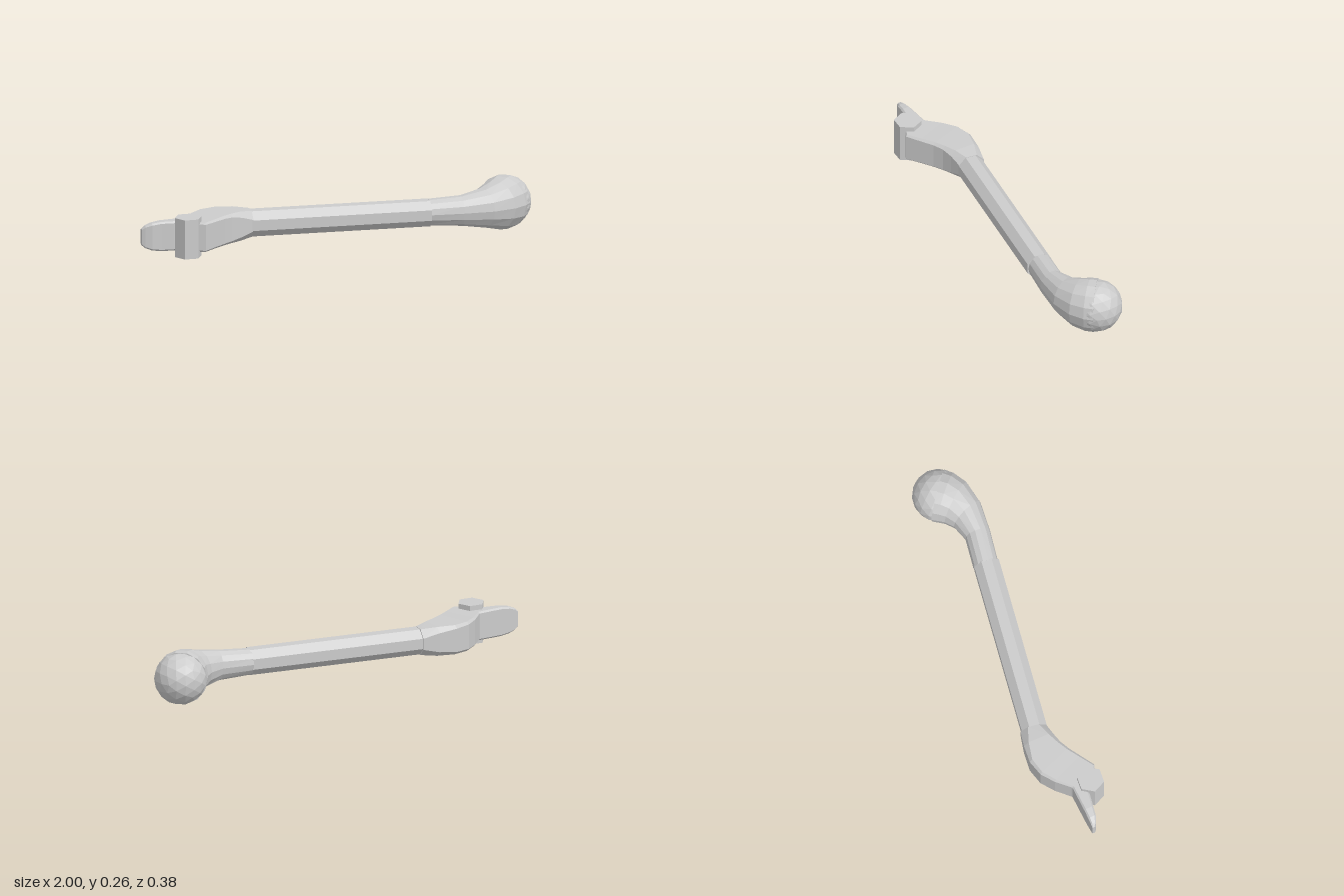
import * as THREE from 'three';

const MID = 0.137; // height of the handle's centre line
const mat = new THREE.MeshStandardMaterial({ color: 0xcccccc, flatShading: true, side: THREE.DoubleSide });

// Unit rings (u across, v up)
const roundRing = (n) => () => Array.from({ length: n }, (_, i) => {
  const t = ((i + 0.5) / n) * Math.PI * 2;
  return [Math.cos(t) / Math.cos(Math.PI / n), Math.sin(t) / Math.cos(Math.PI / n)];
});
const roundTrue = (n) => () => Array.from({ length: n }, (_, i) => {
  const t = (i / n) * Math.PI * 2;
  return [Math.cos(t), Math.sin(t)];
});
const chamferRing = (hw, hh, c) => {
  const u = 1 - c / hw, v = 1 - c / hh;
  return [[1, -v], [1, v], [u, 1], [-u, 1], [-1, v], [-1, -v], [-u, -1], [u, -1]];
};

// Skin over sections running towards +x:
// [back x, back z, front x, front z, half height, chamfer]
function loft(name, sections, ringOf) {
  const rings = sections.map(([x1, z1, x2, z2, hh, c]) => {
    const hw = Math.hypot(x2 - x1, z2 - z1) / 2;
    return ringOf(hw, hh, c).map(([u, v]) => [
      (x1 + x2) / 2 + (u * (x2 - x1)) / 2,
      MID + v * hh,
      (z1 + z2) / 2 + (u * (z2 - z1)) / 2,
    ]);
  });
  const pos = [], n = rings[0].length, last = rings[rings.length - 1];
  const tri = (...pts) => pts.forEach((p) => pos.push(...p));
  for (let i = 0; i < rings.length - 1; i++) {
    for (let j = 0; j < n; j++) {
      const k = (j + 1) % n;
      const a = rings[i][j], b = rings[i][k], c = rings[i + 1][k], d = rings[i + 1][j];
      tri(a, d, c);
      tri(a, c, b);
    }
  }
  for (let j = 1; j < n - 1; j++) {
    tri(rings[0][0], rings[0][j], rings[0][j + 1]);
    tri(last[0], last[j + 1], last[j]);
  }
  const geo = new THREE.BufferGeometry();
  geo.setAttribute('position', new THREE.Float32BufferAttribute(pos, 3));
  geo.computeVertexNormals();
  const mesh = new THREE.Mesh(geo, mat);
  mesh.name = name;
  return mesh;
}

export function createModel() {
  const model = new THREE.Group();
  model.name = 'leverHandle';

  // Straight eight-sided shaft
  model.add(loft('shaft', [
    [-0.41, -0.157, -0.434, -0.035, 0.063],
    [0.465, 0.013, 0.441, 0.135, 0.063],
  ], roundRing(8)));

  // Neck that swells and bends round to the ball
  model.add(loft('neck', [
    [0.46, 0.008, 0.437, 0.13, 0.065],
    [0.615, 0.04, 0.6, 0.166, 0.075],
    [0.695, 0.018, 0.75, 0.188, 0.097],
    [0.735, -0.012, 0.865, 0.174, 0.121],
    [0.757, -0.04, 0.935, 0.138, 0.132],
    [0.774, -0.063, 0.97, 0.105, 0.131],
  ], roundTrue(14)));

  // Faceted ball grip
  const ball = new THREE.Mesh(new THREE.IcosahedronGeometry(0.128, 2), mat);
  ball.name = 'ballGrip';
  ball.position.set(0.873, MID, 0.022);
  model.add(ball);

  // Curved, chamfered head that holds the pin
  model.add(loft('head', [
    [-0.8, -0.055, -0.76, 0.055, 0.073, 0.008],
    [-0.775, -0.075, -0.72, 0.078, 0.073, 0.008],
    [-0.715, -0.133, -0.65, 0.038, 0.073, 0.01],
    [-0.65, -0.178, -0.59, 0.004, 0.074, 0.012],
    [-0.57, -0.196, -0.54, -0.017, 0.074, 0.015],
    [-0.48, -0.183, -0.485, -0.028, 0.073, 0.025],
    [-0.4, -0.162, -0.422, -0.035, 0.065, 0.037],
  ], chamferRing));

  // Thin rounded tongue at the end
  model.add(loft('tongue', [
    [-1.0, -0.07, -1.0, -0.055, 0.04, 0.004],
    [-0.985, -0.07, -0.985, -0.044, 0.055, 0.006],
    [-0.955, -0.07, -0.955, -0.03, 0.067, 0.008],
    [-0.91, -0.07, -0.91, -0.022, 0.073, 0.008],
    [-0.85, -0.07, -0.85, -0.01, 0.073, 0.008],
    [-0.76, -0.07, -0.76, 0.0, 0.072, 0.008],
  ], chamferRing));

  // Upright six-sided pin
  const pin = new THREE.Mesh(new THREE.CylinderGeometry(0.067, 0.067, 0.195, 6), mat);
  pin.name = 'hexPin';
  pin.position.set(-0.79, MID, 0.022);
  pin.rotation.y = 0.4;
  model.add(pin);

  return model;
}
